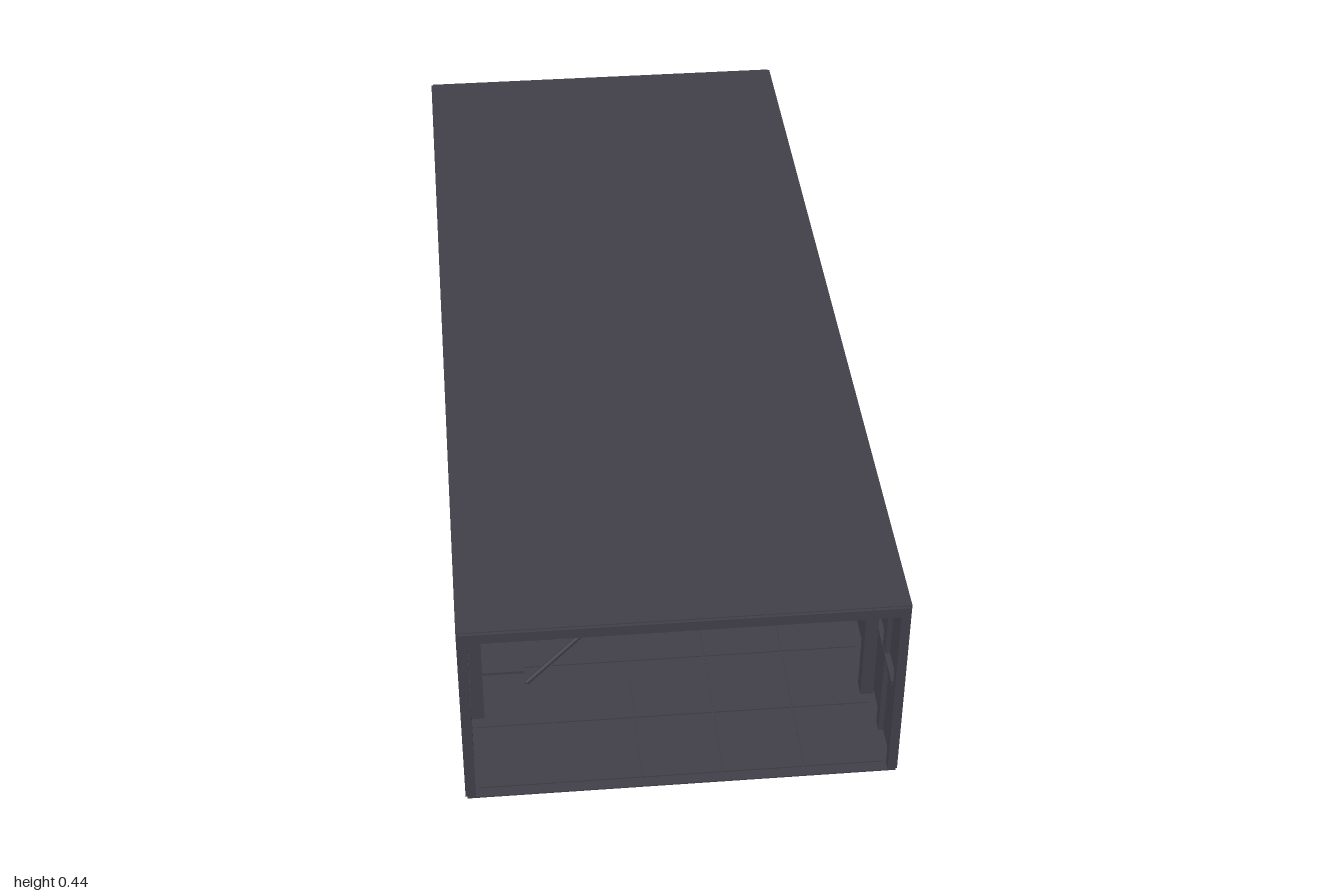
import * as THREE from 'three';

export function createModel() {
  const model = new THREE.Group();
  model.name = 'corridor';
  const mat = new THREE.MeshStandardMaterial({ color: 0x41404a });
  mat.name = 'charcoal';

  const group = (name) => {
    const g = new THREE.Group();
    g.name = name;
    model.add(g);
    return g;
  };
  // Box given by its lower and upper corners
  const box = (parent, name, x0, x1, y0, y1, z0, z1) => {
    const m = new THREE.Mesh(new THREE.BoxGeometry(x1 - x0, y1 - y0, z1 - z0), mat);
    m.position.set((x0 + x1) / 2, (y0 + y1) / 2, (z0 + z1) / 2);
    m.name = name;
    parent.add(m);
  };
  // Rectangular ring extruded along z
  const ring = (parent, name, outer, inner, z0, z1) => {
    const rect = (P, [x, y0, y1]) => {
      const p = new P();
      p.moveTo(-x, y0).lineTo(x, y0).lineTo(x, y1).lineTo(-x, y1).closePath();
      return p;
    };
    const s = rect(THREE.Shape, outer);
    s.holes.push(rect(THREE.Path, inner));
    const m = new THREE.Mesh(new THREE.ExtrudeGeometry(s, { depth: z1 - z0, bevelEnabled: false }), mat);
    m.position.z = z0;
    m.name = name;
    parent.add(m);
  };

  // Outer shell, open at both ends
  ring(model, 'shell', [0.425, 0, 0.435], [0.415, 0.003, 0.421], -0.994, 0.994);
  for (const s of [-1, 1]) {
    const z = s * 0.99;
    ring(model, 'endFrame', [0.421, 0.001, 0.433], [0.405, 0.004, 0.411], z - 0.01, z + 0.01);
  }

  // Frames between the wall panels
  const ribs = group('ribs');
  for (let i = 0; i < 12; i++) {
    const z = -0.88 + i * 0.16;
    ring(ribs, 'rib', [0.416, 0.002, 0.422], [0.405, 0.004, 0.411], z - 0.012, z + 0.012);
  }

  // Floor tiles with narrow seams
  const floor = group('floorTiles');
  for (let i = 0; i < 12; i++) {
    for (let j = 0; j < 5; j++) {
      const x = -0.4 + j * 0.16, z = -0.98 + i * 0.1633;
      box(floor, 'floorTile', x + 0.002, x + 0.158, 0.002, 0.0055, z + 0.002, z + 0.161);
    }
  }

  // Wall posts, rails and shelves on both sides
  for (const s of [-1, 1]) {
    const side = group(s > 0 ? 'leftWall' : 'rightWall');
    const put = (name, a, b, ...r) => box(side, name, Math.min(s * a, s * b), Math.max(s * a, s * b), ...r);
    for (let i = 0; i < 6; i++) {
      const z = -0.8 + i * 0.32;
      put('wallPost', 0.38, 0.406, 0.03, 0.345, z - 0.015, z + 0.015);
    }
    put('wallRail', 0.404, 0.416, 0.205, 0.215, -0.97, 0.97);
    const [z0, z1] = s < 0 ? [0.4, 0.83] : [-0.68, -0.3];
    put('shelf', 0.298, 0.38, 0.163, 0.169, z0, z1);
    put('shelfSupport', 0.31, 0.375, 0.158, 0.163, z0 + 0.03, z1 - 0.03);
    put('shelfPin', 0.299, 0.301, 0.165, 0.205, z0 + 0.1, z0 + 0.12);
  }

  // Ceiling plates, light strips and centre rail
  const ceiling = group('ceiling');
  for (const s of [-1, 1]) {
    for (let i = 0; i < 8; i++) {
      const z = -0.84 + i * 0.24, x = s * 0.173;
      box(ceiling, 'ceilingPlate', x - 0.147, x + 0.147, 0.405, 0.412, z - 0.06, z + 0.06);
      box(ceiling, 'lightStrip', x - 0.052, x + 0.052, 0.402, 0.406, z - 0.02, z + 0.02);
    }
    for (const x of [0.04, 0.3]) box(ceiling, 'ceilingRunner', s * x - 0.006, s * x + 0.006, 0.409, 0.421, -0.97, 0.97);
  }
  box(ceiling, 'centreRail', -0.014, 0.014, 0.409, 0.421, -0.97, 0.97);

  // Low crossbars and thin cables in the middle
  const cross = group('crossbars');
  box(cross, 'crossbar', -0.326, 0.326, 0.146, 0.153, -0.05, -0.02);
  box(cross, 'lowerCrossbar', -0.316, 0.314, 0.138, 0.142, 0.08, 0.1);
  box(cross, 'cable', -0.318, 0.318, 0.174, 0.176, -0.2, -0.19);
  box(cross, 'cable', -0.318, 0.318, 0.185, 0.187, 0.2, 0.21);
  box(cross, 'smallLedge', -0.302, -0.225, 0.259, 0.262, -0.3, -0.24);

  // Fallen struts leaning across the passage
  const struts = group('fallenStruts');
  for (const [x0, y0, x1, y1, z, r] of [
    [-0.318, 0.023, -0.112, 0.295, -0.1, 0.0065],
    [-0.289, 0.031, -0.071, 0.268, 0.72, 0.005],
    [0.315, 0.023, 0.125, 0.304, 0.1, 0.0065],
  ]) {
    const d = new THREE.Vector3(x1 - x0, y1 - y0, 0);
    const m = new THREE.Mesh(new THREE.CapsuleGeometry(r, d.length(), 3, 8), mat);
    m.position.set((x0 + x1) / 2, (y0 + y1) / 2, z);
    m.quaternion.setFromUnitVectors(new THREE.Vector3(0, 1, 0), d.normalize());
    m.name = 'strut';
    struts.add(m);
  }
  return model;
}
